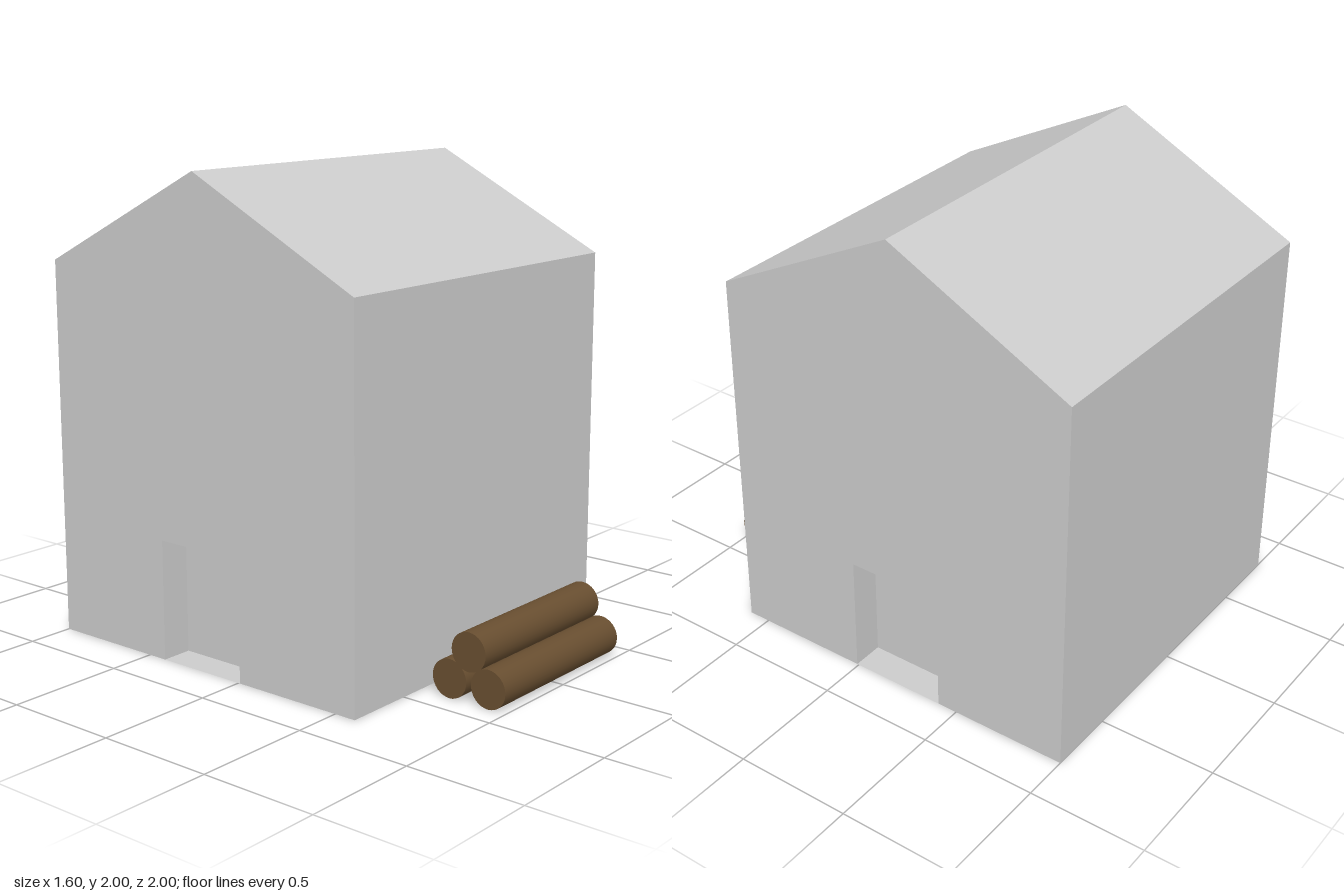
import * as THREE from 'three';

const HALF = 0.798;      // half width of the square house
const EAVES = 1.596;
const RIDGE = 2;
const DOOR_HALF = 0.21;
const DOOR_H = 0.507;
const DOOR_DEPTH = 0.135;

const plaster = new THREE.MeshStandardMaterial({ color: 0xcccccc });
const plasterBoth = new THREE.MeshStandardMaterial({ color: 0xcccccc, side: THREE.DoubleSide });
const wood = new THREE.MeshStandardMaterial({ color: 0x684e30 });

function add(parent, name, geometry, material, [x, y, z] = [0, 0, 0], [rx, ry, rz] = [0, 0, 0]) {
  const mesh = new THREE.Mesh(geometry, material);
  mesh.name = name;
  mesh.position.set(x, y, z);
  mesh.rotation.set(rx, ry, rz);
  parent.add(mesh);
  return mesh;
}

const plane = (w, h) => new THREE.PlaneGeometry(w, h);

// Gable wall with a doorway notch, facing local +z, and the shallow alcove behind it
function makeGableEnd() {
  const end = new THREE.Group();
  end.name = 'gableEnd';
  const outline = new THREE.Shape([
    [-HALF, 0], [-DOOR_HALF, 0], [-DOOR_HALF, DOOR_H], [DOOR_HALF, DOOR_H], [DOOR_HALF, 0],
    [HALF, 0], [HALF, EAVES], [0, RIDGE], [-HALF, EAVES],
  ].map(([x, y]) => new THREE.Vector2(x, y)));
  add(end, 'gableWall', new THREE.ShapeGeometry(outline), plaster);

  add(end, 'door', plane(2 * DOOR_HALF, DOOR_H), plaster, [0, DOOR_H / 2, -DOOR_DEPTH]);
  for (const side of [-1, 1]) {
    add(end, 'doorJamb', plane(DOOR_DEPTH, DOOR_H), plaster,
      [side * DOOR_HALF, DOOR_H / 2, -DOOR_DEPTH / 2], [0, -side * Math.PI / 2, 0]);
  }
  add(end, 'doorLintel', plane(2 * DOOR_HALF, DOOR_DEPTH), plaster,
    [0, DOOR_H, -DOOR_DEPTH / 2], [Math.PI / 2, 0, 0]);
  return end;
}

// One long wall, one roof slope and one gable end; two of these make the house
function makeHouseHalf() {
  const half = new THREE.Group();
  half.name = 'houseHalf';
  add(half, 'longWall', plane(2 * HALF, EAVES), plaster, [0, EAVES / 2, HALF]);

  const rise = RIDGE - EAVES;
  add(half, 'roofSlope', plane(2 * HALF, Math.hypot(HALF, rise)), plaster,
    [0, (EAVES + RIDGE) / 2, HALF / 2], [-Math.atan2(HALF, rise), 0, 0]);

  const end = makeGableEnd();
  end.position.x = HALF;
  end.rotation.y = Math.PI / 2;
  half.add(end);
  return half;
}

export function createModel() {
  const model = new THREE.Group();
  model.name = 'houseWithLogs';

  const house = new THREE.Group();
  house.name = 'house';
  house.position.z = -0.202;
  for (const turn of [0, Math.PI]) {
    const half = makeHouseHalf();
    half.rotation.y = turn;
    house.add(half);
  }
  // The floor also serves as the door sills
  add(house, 'floor', plane(2 * HALF, 2 * HALF), plasterBoth, [0, 0, 0], [-Math.PI / 2, 0, 0]);
  model.add(house);

  // Stack of three logs in front of the long wall
  const logs = new THREE.Group();
  logs.name = 'logPile';
  const logGeometry = new THREE.CylinderGeometry(0.08, 0.08, 0.796, 32);
  for (const [y, z] of [[0.08, 0.92], [0.08, 0.738], [0.208, 0.827]]) {
    add(logs, 'log', logGeometry, wood, [0, y, z], [0, 0, Math.PI / 2]);
  }
  model.add(logs);
  return model;
}
